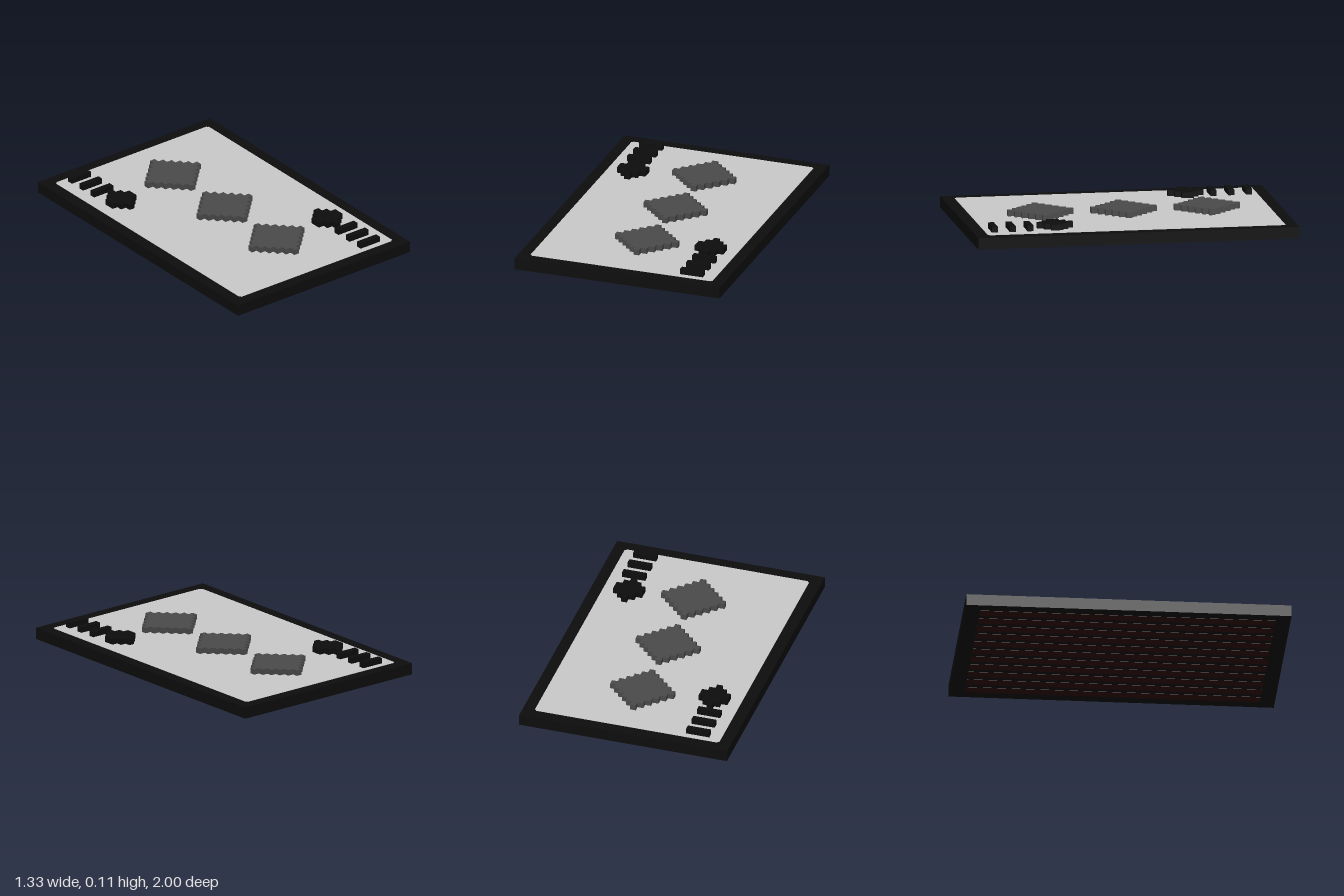
import * as THREE from 'three';

const U = 2 / 54; // one grid cell
const BASE = 2 * U; // top of the slab
const PLATE = 0.004;

const material = (name, color) => {
  const m = new THREE.MeshStandardMaterial({ color });
  m.name = name;
  return m;
};

// Symmetric stepped outline from row widths in cells, one cell per row.
function steppedShape(widths) {
  const half = widths.length / 2;
  const right = [];
  widths.forEach((w, i) => {
    right.push([w / 2, i - half], [w / 2, i + 1 - half]);
  });
  const left = right.map(([x, y]) => [-x, y]).reverse();
  return new THREE.Shape([...right, ...left].map(([x, y]) => new THREE.Vector2(x * U, y * U)));
}

// Lay an outline flat and give it a thickness upwards.
function slab(shape, depth) {
  return new THREE.ExtrudeGeometry(shape, { depth, bevelEnabled: false }).rotateX(-Math.PI / 2);
}

// Rectangle with a tiny square notch in every corner.
function notchedShape(w, h, n) {
  const a = w / 2, b = h / 2;
  return new THREE.Shape([
    [a - n, -b], [a - n, -b + n], [a, -b + n], [a, b - n], [a - n, b - n], [a - n, b],
    [-a + n, b], [-a + n, b - n], [-a, b - n], [-a, -b + n], [-a + n, -b + n], [-a + n, -b],
  ].map(([x, y]) => new THREE.Vector2(x, y)));
}

export function createModel() {
  const black = material('black', 0x0d0d0d);
  const paleGrey = material('pale grey', 0xc9c9c9);
  const darkGrey = material('dark grey', 0x4a4a4a);
  const darkRed = material('dark red', 0x300808);

  const card = new THREE.Group();
  card.name = 'card';
  const add = (parent, name, geometry, mat, x, y, z) => {
    const mesh = new THREE.Mesh(geometry, mat);
    mesh.name = name;
    mesh.position.set(x, y, z);
    parent.add(mesh);
  };

  // Slab, whose rim frames the pale face
  const bottom = 0.002;
  add(card, 'slab', new THREE.BoxGeometry(36 * U, BASE - bottom, 54 * U), black, 0, (BASE + bottom) / 2, 0);
  add(card, 'face', slab(notchedShape(32 * U, 50 * U, 0.01), PLATE), paleGrey, 0, BASE - PLATE / 2, 0);

  // Three large raised diamonds down the middle
  const diamond = slab(steppedShape([1, 3, 5, 7, 9, 11, 9, 7, 5, 3, 1]), U);
  for (const row of [-14.5, -0.5, 13.5]) {
    add(card, 'diamond', diamond, darkGrey, 0.5 * U, BASE, row * U);
  }

  // Corner marks: a small pip and three tally bars, repeated half a turn round
  const pip = slab(steppedShape([1, 3, 5, 5, 3, 1]), U);
  const bar = new THREE.BoxGeometry(4 * U, U, U);
  for (const turn of [0, Math.PI]) {
    const corner = new THREE.Group();
    corner.name = 'cornerMark';
    corner.rotation.y = turn;
    add(corner, 'smallPip', pip, black, -11.5 * U, BASE, -13 * U);
    for (const row of [-23.5, -20.5, -17.5]) {
      add(corner, 'tallyBar', bar, black, -12 * U, BASE + U / 2, row * U);
    }
    card.add(corner);
  }

  // Lengthwise stripes on the underside
  const stripe = new THREE.BoxGeometry(2 * U, PLATE, 49 * U);
  for (let i = -5; i <= 5; i++) {
    add(card, 'backStripe', stripe, darkRed, i * 3 * U, PLATE / 2, 0);
  }
  return card;
}
